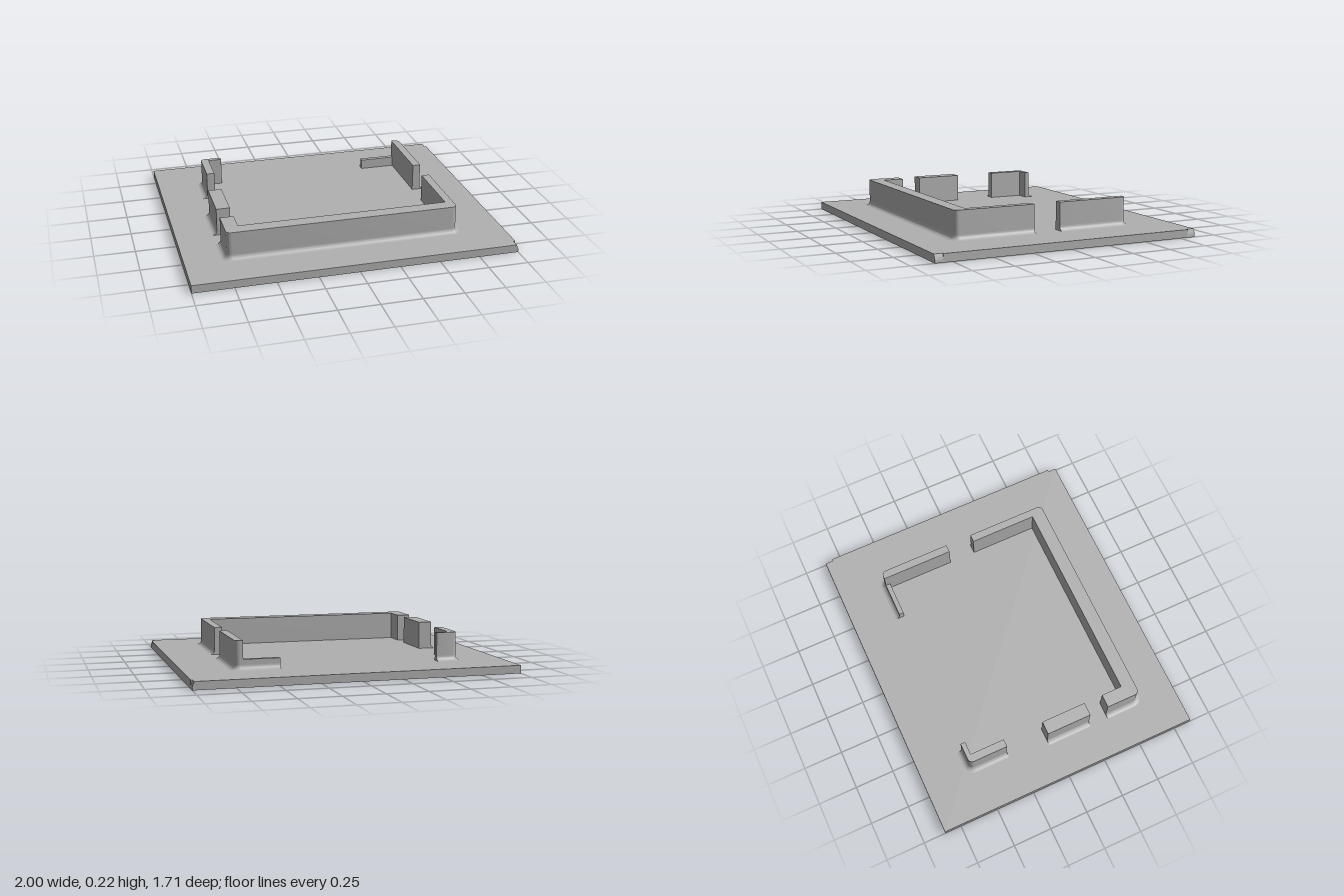
import * as THREE from 'three';
import { mergeGeometries, toCreasedNormals } from 'three/addons/utils/BufferGeometryUtils.js';

const PLATE = 0.05, TOP = 0.225, LOW = 0.113, DEPTH = 0.857;
const CORNER = 0.03, FILLET = 0.03;

// Plan outline [x, z] -> path points with outward normals, right-angle corners rounded
function roundedPath(pts) {
  const normal = (a, b) => {
    const l = Math.hypot(b[0] - a[0], b[1] - a[1]);
    return [-(b[1] - a[1]) / l, (b[0] - a[0]) / l];
  };
  const out = [];
  pts.forEach((p, i) => {
    const n1 = i > 0 ? normal(pts[i - 1], p) : null;
    const n2 = i < pts.length - 1 ? normal(p, pts[i + 1]) : null;
    if (!n1 || !n2) { out.push({ p, n: n1 || n2 }); return; }
    for (let k = 0; k <= 8; k++) {
      const a = k / 8 * Math.PI / 2;
      const n = [0, 1].map(c => n1[c] * Math.cos(a) + n2[c] * Math.sin(a));
      out.push({ p: [0, 1].map(c => p[c] - CORNER * (n1[c] + n2[c]) + CORNER * n[c]), n });
    }
  });
  return out;
}

// Upright block from a plan outline
function prism(pts, y0, y1) {
  const shape = new THREE.Shape(pts.map(([x, z]) => new THREE.Vector2(x, -z)));
  const geo = new THREE.ExtrudeGeometry(shape, { depth: y1 - y0, bevelEnabled: false });
  return geo.rotateX(-Math.PI / 2).translate(0, y0, 0);
}

// Concave fillet swept along the outer foot of a wall
function fillet(path) {
  const N = 8, pos = [];
  const at = (s, j) => {
    const a = j / N * Math.PI / 2, d = FILLET * (1 - Math.cos(a));
    return [s.p[0] + s.n[0] * d, PLATE + FILLET * (1 - Math.sin(a)), s.p[1] + s.n[1] * d];
  };
  const tri = (...v) => v.forEach(q => pos.push(...q));
  for (let i = 0; i < path.length - 1; i++) {
    for (let j = 0; j < N; j++) {
      const a = at(path[i], j), b = at(path[i], j + 1);
      const c = at(path[i + 1], j), d = at(path[i + 1], j + 1);
      tri(a, b, c);
      tri(b, d, c);
    }
  }
  // End caps
  const first = path[0], last = path[path.length - 1];
  const foot = s => [s.p[0], PLATE, s.p[1]];
  for (let j = 0; j < N; j++) {
    tri(foot(first), at(first, j + 1), at(first, j));
    tri(foot(last), at(last, j), at(last, j + 1));
  }
  const geo = new THREE.BufferGeometry();
  geo.setAttribute('position', new THREE.Float32BufferAttribute(pos, 3));
  return geo;
}

export function createModel() {
  const group = new THREE.Group();
  const grey = new THREE.MeshStandardMaterial({ color: 0xb0b0b0 });
  const add = (name, geo) => {
    const mesh = new THREE.Mesh(toCreasedNormals(geo, 0.6), grey);
    mesh.name = name;
    group.add(mesh);
  };
  grey.name = 'grey';

  // Base plate, narrowed at two corners to take the small chamfers
  const cut = 0.988, cutZ = 0.805;
  add('basePlate', prism([[-1, -DEPTH], [-1, DEPTH], [cut, DEPTH], [cut, cutZ], [1, cutZ],
    [1, -cutZ], [cut, -cutZ], [cut, -DEPTH]], 0, PLATE));
  for (const z of [cutZ, -DEPTH]) {
    const section = new THREE.Shape([[cut, 0], [1, 0], [1, 0.02], [cut, PLATE]]
      .map(([x, y]) => new THREE.Vector2(x, y)));
    add('cornerChamfer', new THREE.ExtrudeGeometry(section, { depth: DEPTH - cutZ, bevelEnabled: false })
      .translate(0, 0, z));
  }

  // Walls: outer edge, then inner edge running back
  const walls = [
    { name: 'frontWall',
      outer: [[-0.745, 0.38], [-0.745, 0.6], [0.695, 0.6], [0.695, 0.083]],
      inner: [[0.645, 0.083], [0.645, 0.515], [-0.66, 0.515], [-0.66, 0.38]] },
    { name: 'rightSideWall',
      outer: [[-0.745, -0.035], [-0.745, 0.257]],
      inner: [[-0.66, 0.257], [-0.66, -0.035]] },
    { name: 'backRightCornerWall',
      outer: [[-0.575, -0.555], [-0.71, -0.555], [-0.71, -0.3]],
      inner: [[-0.66, -0.3], [-0.66, -0.525], [-0.575, -0.525]] },
    { name: 'leftSideWall',
      outer: [[0.695, -0.09], [0.695, -0.555], [0.645, -0.555]],
      inner: [[0.645, -0.09]] },
    { name: 'lowBackWall', top: LOW,
      outer: [[0.645, -0.555], [0.42, -0.555]],
      inner: [[0.42, -0.525], [0.645, -0.525]] },
  ];
  for (const { name, outer, inner, top = TOP } of walls) {
    const path = roundedPath(outer);
    add(name, prism([...path.map(s => s.p), ...inner], PLATE, top));
    add(name + 'Fillet', fillet(path));
  }
  return group;
}
